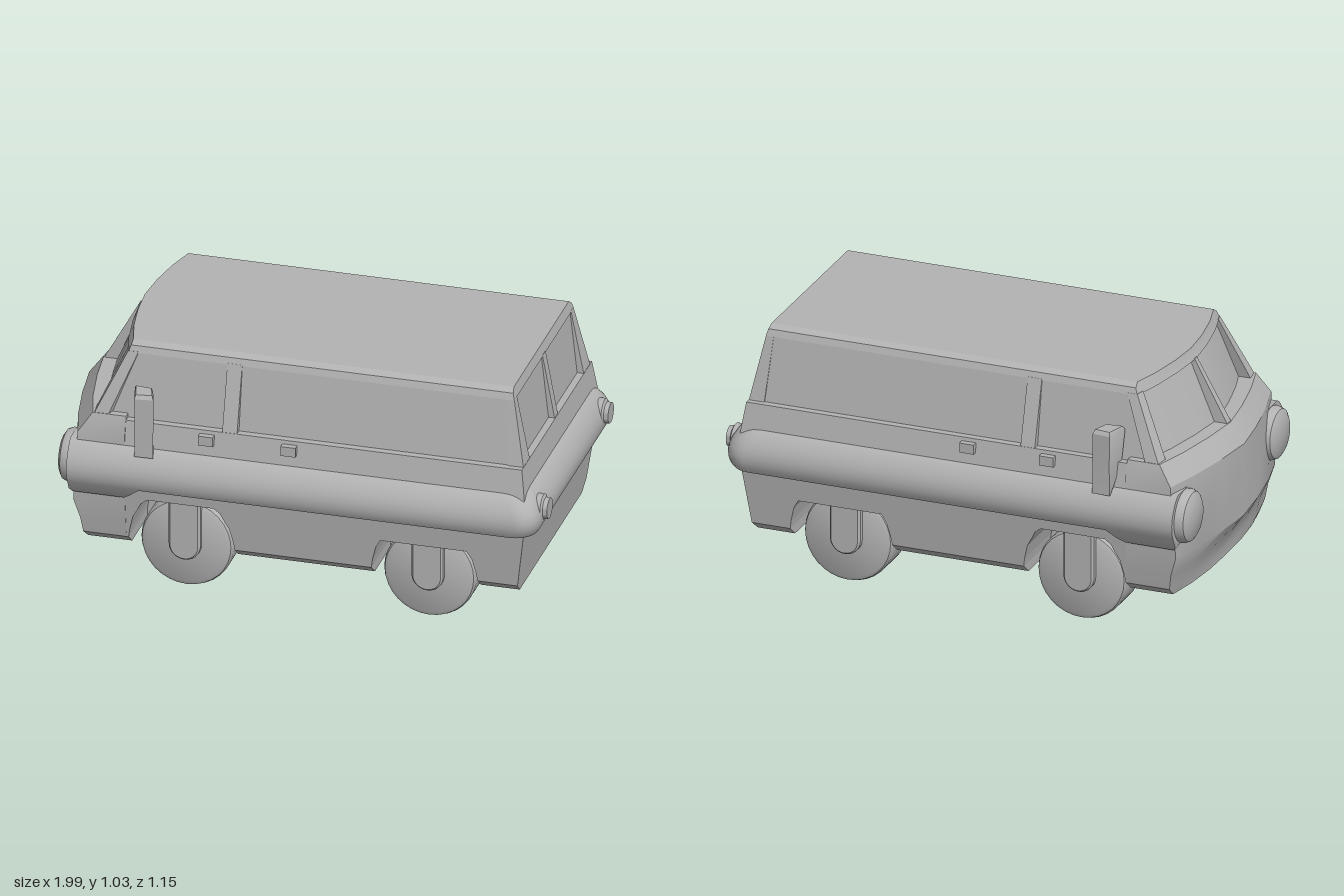
import * as THREE from 'three';
import { toCreasedNormals } from 'three/addons/utils/BufferGeometryUtils.js';

const paint = new THREE.MeshStandardMaterial({ color: 0xb2b2b2 });
paint.name = 'grey paint';

// Solid through horizontal levels: [y, [[x, z], ...]] from bottom to top
function loft(levels, crease = 0.5) {
  const pos = [];
  const rings = levels.map(([y, pts]) => {
    const area = pts.reduce((s, p, i) => {
      const q = pts[(i + 1) % pts.length];
      return s + p[0] * q[1] - q[0] * p[1];
    }, 0);
    const r = pts.map(([x, z]) => [x, y, z]);
    return area > 0 ? r.reverse() : r;
  });
  const n = rings[0].length;
  const cap = (r, up) => {
    const c = [0, 1, 2].map((k) => r.reduce((s, p) => s + p[k], 0) / n);
    r.forEach((p, i) => {
      const q = r[(i + 1) % n];
      pos.push(...c, ...(up ? p : q), ...(up ? q : p));
    });
  };
  cap(rings[0], false);
  for (let i = 0; i + 1 < rings.length; i++) {
    for (let j = 0; j < n; j++) {
      const k = (j + 1) % n;
      const [a, b, c, d] = [rings[i][j], rings[i][k], rings[i + 1][k], rings[i + 1][j]];
      pos.push(...a, ...b, ...c, ...a, ...c, ...d);
    }
  }
  cap(rings[rings.length - 1], true);
  const g = new THREE.BufferGeometry();
  g.setAttribute('position', new THREE.Float32BufferAttribute(pos, 3));
  return toCreasedNormals(g, crease);
}

// Plan outline with a bowed, V-shaped front
function plan(xc, xs, z, xr) {
  const half = [0.35, 0.7].map((t) => [xc + (xs - xc) * t - 0.012, z * t]);
  return [[xc, 0], ...half, [xs, z], [xr, z], [xr, -z], [xs, -z],
    ...half.reverse().map(([x, w]) => [x, -w])];
}
const rect = (x0, x1, z0, z1) => [[x0, z0], [x0, z1], [x1, z1], [x1, z0]];

// Plan outline with rounded rear corners
function beltRing(z, xr, r = 0.09) {
  const half = [[-0.92, z]];
  for (let i = 0; i <= 6; i++) {
    const a = (Math.PI / 2) * (1 - i / 6);
    half.push([xr - r + r * Math.cos(a), z - r + r * Math.sin(a)]);
  }
  return [...half, ...half.slice().reverse().map(([x, w]) => [x, -w])];
}

export function createModel() {
  const model = new THREE.Group();
  const add = (name, geo) => {
    const m = new THREE.Mesh(geo, paint);
    m.name = name;
    model.add(m);
    return m;
  };
  const mirrorZ = (pts, s) => pts.map(([x, z]) => [x, z * s]);
  const axles = [{ x: -0.476, top: 0.395 }, { x: 0.508, top: 0.345 }];

  // Nose
  add('nose', loft([
    [0.175, plan(-0.91, -0.87, 0.44, -0.7)],
    [0.215, plan(-0.912, -0.875, 0.49, -0.7)],
    [0.28, plan(-0.935, -0.885, 0.5, -0.7)],
    [0.36, plan(-0.99, -0.91, 0.51, -0.7)],
    [0.66, plan(-0.99, -0.89, 0.518, -0.7)],
    [0.74, plan(-0.93, -0.835, 0.495, -0.7)],
  ]));

  // Lower body
  add('floor', loft([
    [0.175, rect(-0.72, 0.88, -0.22, 0.22)], [0.215, rect(-0.72, 0.885, -0.22, 0.22)],
    [0.47, rect(-0.72, 0.92, -0.22, 0.22)],
  ]));
  for (const [x0, x1, x2] of [[-0.72, -0.691, -0.691], [-0.261, 0.293, 0.293], [0.723, 0.88, 0.885]]) {
    add('lowerSill', loft([[0.175, rect(x0, x1, -0.44, 0.44)], [0.215, rect(x0, x2, -0.49, 0.49)]]));
  }
  const arch = ({ x, top }) => {
    const side = [[0.215, 0.215], [0.21, 0.25], [0.195, 0.31], [0.175, 0.345]];
    if (top > 0.36) side.push([0.16, 0.375], [0.135, top]);
    return [...side.map(([w, y]) => [x - w, y]), ...side.slice().reverse().map(([w, y]) => [x + w, y])];
  };
  const outline = [[-0.72, 0.215], ...axles.flatMap(arch), [0.885, 0.215], [0.92, 0.47], [-0.72, 0.47]];
  for (const s of [1, -1]) {
    const g = new THREE.ExtrudeGeometry(
      new THREE.Shape(outline.map((p) => new THREE.Vector2(...p))), { depth: 0.3, bevelEnabled: false });
    g.translate(0, 0, s > 0 ? 0.2 : -0.5);
    const p = g.attributes.position;
    for (let i = 0; i < p.count; i++) {
      if (Math.abs(p.getZ(i)) > 0.4) p.setZ(i, s * (0.49 + 0.12 * (p.getY(i) - 0.215)));
    }
    g.computeVertexNormals();
    add('lowerSide', g);
  }

  // Rounded belt around sides and rear
  const belt = [[0.455, 0.04], [0.475, 0.051], [0.5, 0.057], [0.525, 0.058], [0.55, 0.053],
    [0.575, 0.043], [0.6, 0.027], [0.62, 0.008], [0.63, -0.01]];
  const beltMesh = add('belt', loft(belt.map(([y, o]) => [y, beltRing(0.518 + o, 0.922 + o)]), 0.7));
  beltMesh.position.x = 0;

  // Cabin: waist, recessed glass and roof
  add('waist', loft([
    [0.6, rect(-0.72, 0.922, -0.522, 0.522)], [0.725, rect(-0.72, 0.905, -0.498, 0.498)],
  ]));
  add('glass', loft([
    [0.7, plan(-0.89, -0.79, 0.472, 0.88)], [0.99, plan(-0.765, -0.695, 0.42, 0.848)],
  ]));
  add('roof', loft([
    [0.985, plan(-0.785, -0.712, 0.424, 0.853)],
    [1.012, plan(-0.77, -0.702, 0.414, 0.846)],
    [1.028, plan(-0.765, -0.7, 0.39, 0.842)],
  ], 0.3));

  // Centre posts
  add('windscreenPost', loft([
    [0.73, rect(-0.93, -0.86, -0.018, 0.018)], [0.99, rect(-0.785, -0.74, -0.012, 0.012)]]));
  add('rearPost', loft([
    [0.72, rect(0.86, 0.903, -0.022, 0.022)], [0.99, rect(0.83, 0.853, -0.022, 0.022)]]));

  for (const s of [1, -1]) {
    const solid = (name, y0, a, y1, b) => add(name, loft([[y0, mirrorZ(a, s)], [y1, mirrorZ(b, s)]]));

    // Window pillars
    solid('frontPillar', 0.72, [[-0.845, 0.44], [-0.838, 0.498], [-0.78, 0.498], [-0.76, 0.44]],
      0.99, [[-0.722, 0.385], [-0.712, 0.423], [-0.67, 0.423], [-0.66, 0.385]]);
    solid('middlePillar', 0.72, rect(-0.31, -0.25, 0.44, 0.498), 0.99, rect(-0.31, -0.25, 0.39, 0.423));
    solid('rearPillar', 0.72, rect(0.84, 0.905, 0.385, 0.474), 0.99, rect(0.82, 0.852, 0.385, 0.421));

    // Deeper front end of the belt
    add('beltDrop', loft([
      [0.4, mirrorZ(rect(-0.91, -0.7, 0.4, 0.522), s)],
      [0.42, mirrorZ(rect(-0.92, -0.675, 0.4, 0.54), s)],
      [0.457, mirrorZ(rect(-0.92, -0.63, 0.4, 0.559), s)],
    ]));

    // Mirror and door handles
    add('mirror', loft([
      [0.6, mirrorZ([[-0.645, 0.515], [-0.65, 0.555], [-0.575, 0.553], [-0.58, 0.515]], s)],
      [0.72, mirrorZ([[-0.668, 0.475], [-0.648, 0.556], [-0.575, 0.547], [-0.598, 0.48]], s)],
      [0.85, mirrorZ([[-0.675, 0.457], [-0.65, 0.556], [-0.575, 0.547], [-0.598, 0.467]], s)],
      [0.866, mirrorZ([[-0.668, 0.467], [-0.646, 0.546], [-0.582, 0.538], [-0.603, 0.475]], s)],
    ]));
    for (const x of [-0.37, -0.035]) {
      const handle = add('doorHandle', new THREE.BoxGeometry(0.06, 0.04, 0.04));
      handle.position.set(x, 0.69, s * 0.507);
    }

    // Headlight and tail light
    const turned = (pts) => new THREE.LatheGeometry(pts.map((p) => new THREE.Vector2(...p)), 32);
    const head = add('headlight', toCreasedNormals(
      turned([[0.108, 0], [0.108, 0.08], [0.1, 0.1], [0.08, 0.112], [0, 0.118]]), 0.6));
    head.rotation.z = Math.PI / 2;
    head.position.set(-0.855, 0.52, s * 0.445);
    const tail = add('tailLight', toCreasedNormals(
      turned([[0.055, 0], [0.055, 0.055], [0.043, 0.062], [0.042, 0.08], [0, 0.08]]), 0.6));
    tail.rotation.z = -Math.PI / 2;
    tail.position.set(0.92, 0.543, s * 0.435);

    // Wheels with upright struts
    for (const { x, top } of axles) {
      const wheel = add('wheel', toCreasedNormals(turned([[0, -0.093], [0.165, -0.093], [0.18, -0.085],
        [0.187, -0.068], [0.187, 0.068], [0.18, 0.085], [0.165, 0.093], [0, 0.093]]), 0.6));
      wheel.rotation.x = Math.PI / 2;
      wheel.position.set(x, 0.187, s * 0.337);
      const u = new THREE.Shape();
      u.moveTo(-0.056, top);
      u.lineTo(-0.056, 0.19);
      u.absarc(0, 0.19, 0.056, Math.PI, Math.PI * 2, false);
      u.lineTo(0.056, top);
      const strut = add('wheelStrut', new THREE.ExtrudeGeometry(u,
        { depth: 0.04, bevelThickness: 0.01, bevelSize: 0.008, bevelSegments: 1 }));
      strut.position.set(x, 0, s > 0 ? 0.41 : -0.45);
    }
  }
  return model;
}
